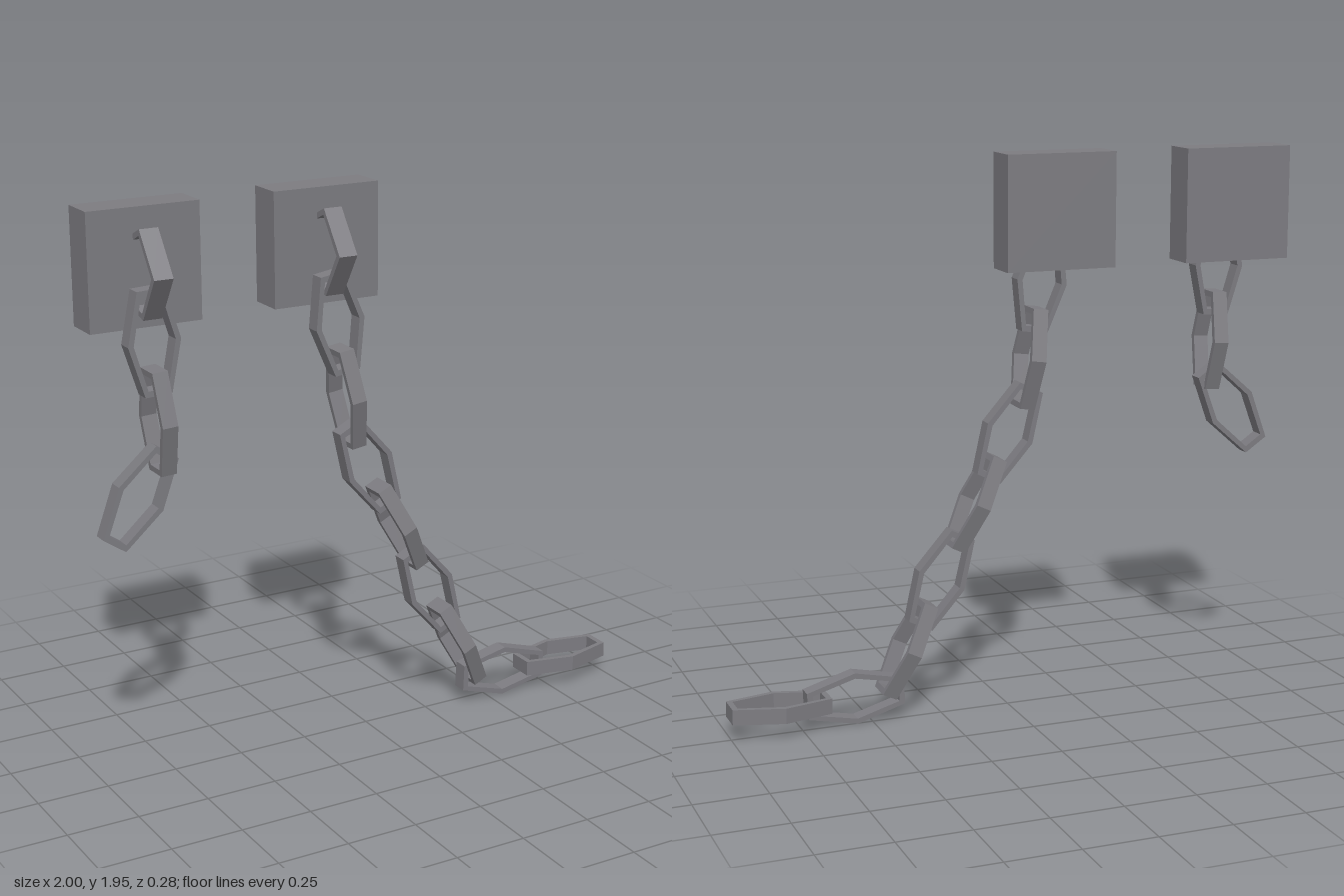
import * as THREE from 'three';

const shapeFrom = (pts) => new THREE.Shape(pts.map(([x, y]) => new THREE.Vector2(x, y)));

// Elongated hexagon: half length, half width of the flat end, half width in the middle
const hexagon = (l, e, m) => [[l, -e], [l, e], [0, m], [-l, e], [-l, -e], [0, -m]];

// Extrusion centred on its own depth
function slab(shape, depth) {
  const geo = new THREE.ExtrudeGeometry(shape, { depth, bevelEnabled: false });
  geo.translate(0, 0, -depth / 2);
  return geo;
}

export function createModel() {
  const model = new THREE.Group();
  model.name = 'wallChains';
  const iron = new THREE.MeshStandardMaterial({ color: 0x7c7b80 });
  iron.name = 'iron grey';

  // Flat-banded hexagonal link
  const linkShape = shapeFrom(hexagon(0.174, 0.047, 0.092));
  linkShape.holes.push(shapeFrom(hexagon(0.154, 0.035, 0.073)));
  const linkGeo = slab(linkShape, 0.054);

  // Bent bracket, drawn as (z, y) and sunk into the plate
  const hookGeo = slab(shapeFrom([
    [-0.05, 1.85], [0.033, 1.888], [0.137, 1.745], [0.043, 1.598], [-0.05, 1.625],
    [-0.05, 1.645], [0.036, 1.619], [0.115, 1.745], [0.028, 1.866], [-0.05, 1.83],
  ]), 0.066);
  hookGeo.rotateY(-Math.PI / 2);

  const plateGeo = new THREE.BoxGeometry(0.39, 0.39, 0.13);

  // Links: x, y, z, angle in degrees; every second link is turned on edge
  const chains = [
    {
      name: 'shortChain', plateX: -0.795, hookX: -0.8,
      links: [
        [-0.8, 1.524, 0.026, -87],
        [-0.784, 1.259, 0.026, -86.5],
        [-0.861, 1.01, 0.016, -124.3],
      ],
    },
    {
      name: 'longChain', plateX: -0.14, hookX: -0.144,
      links: [
        [-0.128, 1.5, 0.028, -81],
        [-0.091, 1.238, 0.026, -82],
        [-0.011, 0.981, 0.027, -63],
        [0.111, 0.743, 0.026, -63.6],
        [0.243, 0.481, 0.024, -63],
        [0.366, 0.246, 0.024, -63.5],
        [0.559, 0.095, 0.02, -2.5],
        [0.826, 0.09, 0.018, 0.7],
      ],
    },
  ];

  for (const { name, plateX, hookX, links } of chains) {
    const chain = new THREE.Group();
    chain.name = name;
    const add = (geo, part, x, y, z) => {
      const mesh = new THREE.Mesh(geo, iron);
      mesh.name = part;
      mesh.position.set(x, y, z);
      chain.add(mesh);
      return mesh;
    };
    add(plateGeo, 'wallPlate', plateX, 1.755, -0.08);
    add(hookGeo, 'hook', hookX, 0, 0);
    links.forEach(([x, y, z, deg], i) => {
      const link = add(linkGeo, `link${i + 1}`, x, y, z);
      link.rotation.set(i % 2 ? Math.PI / 2 : 0, 0, THREE.MathUtils.degToRad(deg), 'ZYX');
    });
    model.add(chain);
  }
  return model;
}
